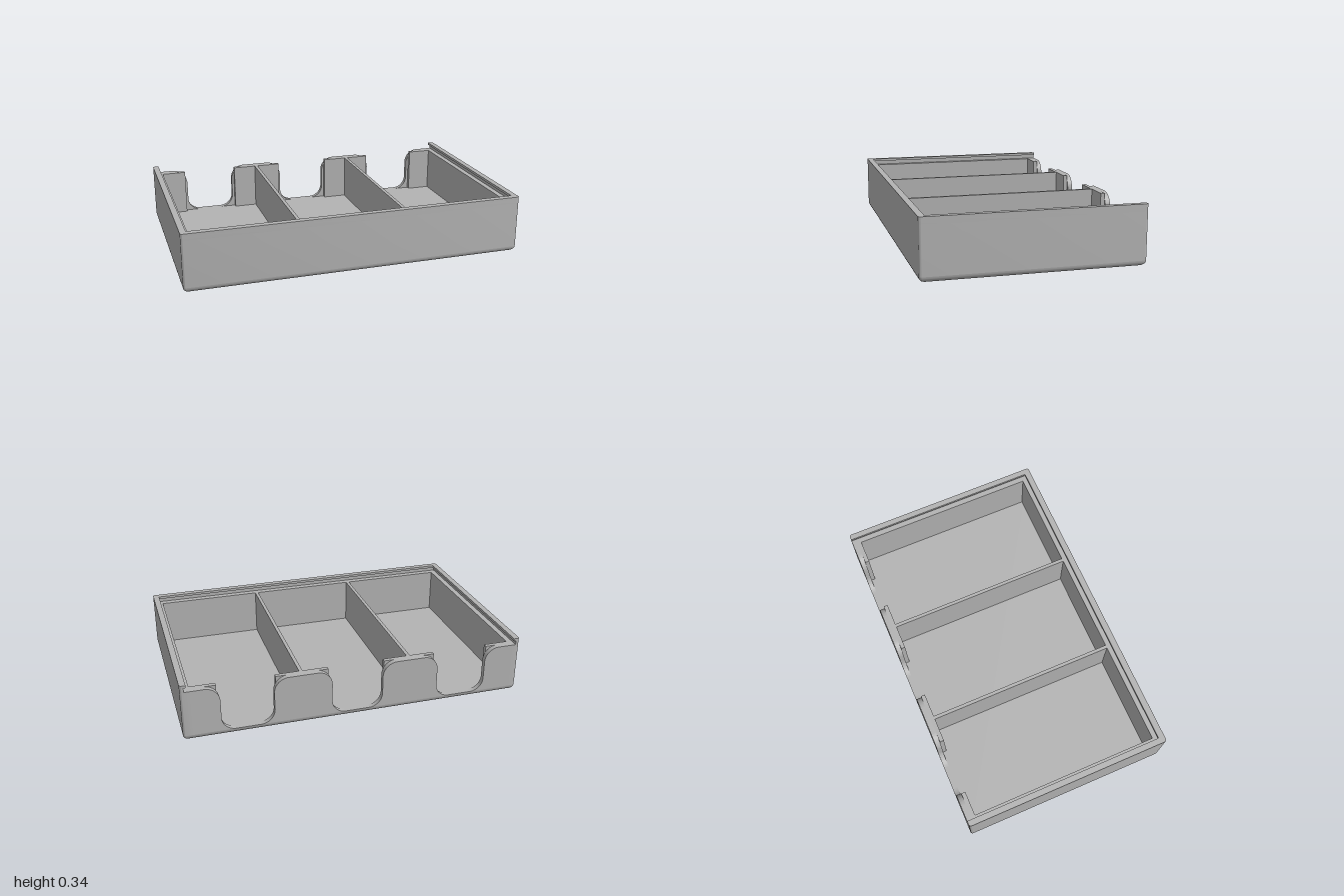
import * as THREE from 'three';
import { toCreasedNormals } from 'three/addons/utils/BufferGeometryUtils.js';

const W = 1, D = 0.625;               // half width and half depth
const FLOOR = 0.032, LEDGE = 0.305, TOP = 0.345;
const CORNER = 0.014;

export function createModel() {
  const group = new THREE.Group();
  const grey = new THREE.MeshStandardMaterial({ color: 0xb3b3b3 });
  grey.name = 'plain grey';

  function add(name, geometry) {
    const mesh = new THREE.Mesh(toCreasedNormals(geometry, 0.6), grey);
    mesh.name = name;
    group.add(mesh);
  }
  function box(name, x0, x1, y0, y1, z0, z1) {
    const g = new THREE.BoxGeometry(x1 - x0, y1 - y0, z1 - z0);
    g.translate((x0 + x1) / 2, (y0 + y1) / 2, (z0 + z1) / 2);
    add(name, g);
  }

  // Floor slab: rounded rectangles stacked along a quarter-round bottom edge
  const ring = (inset) => {
    const pts = [], hx = W - inset - CORNER, hz = D - inset - CORNER;
    [[1, 1], [-1, 1], [-1, -1], [1, -1]].forEach(([sx, sz], q) => {
      for (let i = 0; i <= 4; i++) {
        const a = (q + i / 4) * Math.PI / 2;
        pts.push([sx * hx + CORNER * Math.cos(a), sz * hz + CORNER * Math.sin(a)]);
      }
    });
    return pts;
  };
  const pos = [], index = [], steps = 6, n = 20;
  for (let s = 0; s <= steps; s++) {
    const a = s / steps * Math.PI / 2;
    for (const [x, z] of ring(FLOOR * (1 - Math.sin(a)))) pos.push(x, FLOOR * (1 - Math.cos(a)), z);
  }
  for (let s = 0; s < steps; s++) {
    for (let i = 0; i < n; i++) {
      const a = s * n + i, b = s * n + (i + 1) % n;
      index.push(a, a + n, b, b, a + n, b + n);
    }
  }
  for (let i = 1; i < n - 1; i++) {
    index.push(0, i, i + 1);
    index.push(steps * n, steps * n + i + 1, steps * n + i);
  }
  const floor = new THREE.BufferGeometry();
  floor.setAttribute('position', new THREE.Float32BufferAttribute(pos, 3));
  floor.setIndex(index);
  floor.computeVertexNormals();
  add('floor', floor);

  // U-shaped side and front walls, in layers that leave a lid groove
  function wallLayer(name, y0, y1, innerX, innerZ) {
    const r = CORNER, s = new THREE.Shape();
    s.moveTo(-innerX, -D);
    s.lineTo(-innerX, innerZ);
    s.lineTo(innerX, innerZ);
    s.lineTo(innerX, -D);
    s.lineTo(W - r, -D);
    s.absarc(W - r, -D + r, r, -Math.PI / 2, 0, false);
    s.lineTo(W, D - r);
    s.absarc(W - r, D - r, r, 0, Math.PI / 2, false);
    s.lineTo(-W + r, D);
    s.absarc(-W + r, D - r, r, Math.PI / 2, Math.PI, false);
    s.lineTo(-W, -D + r);
    s.absarc(-W + r, -D + r, r, Math.PI, Math.PI * 1.5, false);
    const g = new THREE.ExtrudeGeometry(s, { depth: y1 - y0, bevelEnabled: false, curveSegments: 4 });
    g.rotateX(Math.PI / 2);
    g.translate(0, y1, 0);
    add(name, g);
  }
  wallLayer('sideAndFrontWalls', FLOOR, LEDGE, 0.945, 0.565);
  wallLayer('lidGroove', LEDGE, 0.33, 0.978, 0.603);
  wallLayer('rimLip', 0.33, TOP, 0.965, 0.588);

  // Dividers between the three compartments
  for (const x of [-0.32, 0.32]) box('divider', x - 0.01, x + 0.01, FLOOR, LEDGE, -0.595, 0.565);

  // Back wall pillars with S-curved sides around the finger notches
  const foot = 0.08, shoulder = 0.085;
  function pillar(x0, x1, notchLeft, notchRight) {
    const s = new THREE.Shape();
    s.moveTo(x0 - (notchLeft ? foot : 0), FLOOR);
    s.lineTo(x1 + (notchRight ? foot : 0), FLOOR);
    if (notchRight) {
      s.absarc(x1 + foot, FLOOR + foot, foot, -Math.PI / 2, -Math.PI, true);
      s.lineTo(x1, LEDGE - shoulder);
      s.absarc(x1 - shoulder, LEDGE - shoulder, shoulder, 0, Math.PI / 2, false);
    } else s.lineTo(x1, LEDGE);
    if (notchLeft) {
      s.lineTo(x0 + shoulder, LEDGE);
      s.absarc(x0 + shoulder, LEDGE - shoulder, shoulder, Math.PI / 2, Math.PI, false);
      s.lineTo(x0, FLOOR + foot);
      s.absarc(x0 - foot, FLOOR + foot, foot, 0, -Math.PI / 2, true);
    } else s.lineTo(x0, LEDGE);
    const g = new THREE.ExtrudeGeometry(s, { depth: 0.03, bevelEnabled: false, curveSegments: 10 });
    g.translate(0, 0, -D);
    add('backPillar', g);
  }
  pillar(-0.945, -0.785, false, true);
  pillar(-0.485, -0.15, true, true);
  pillar(0.15, 0.485, true, true);
  pillar(0.785, 0.945, true, false);

  // Square-edged inner tabs behind the pillars
  for (const [a, b] of [[-0.945, -0.8], [-0.47, -0.165], [0.165, 0.47], [0.8, 0.945]]) {
    box('innerTab', a, b, FLOOR, LEDGE, -0.595, -0.57);
  }
  return group;
}
